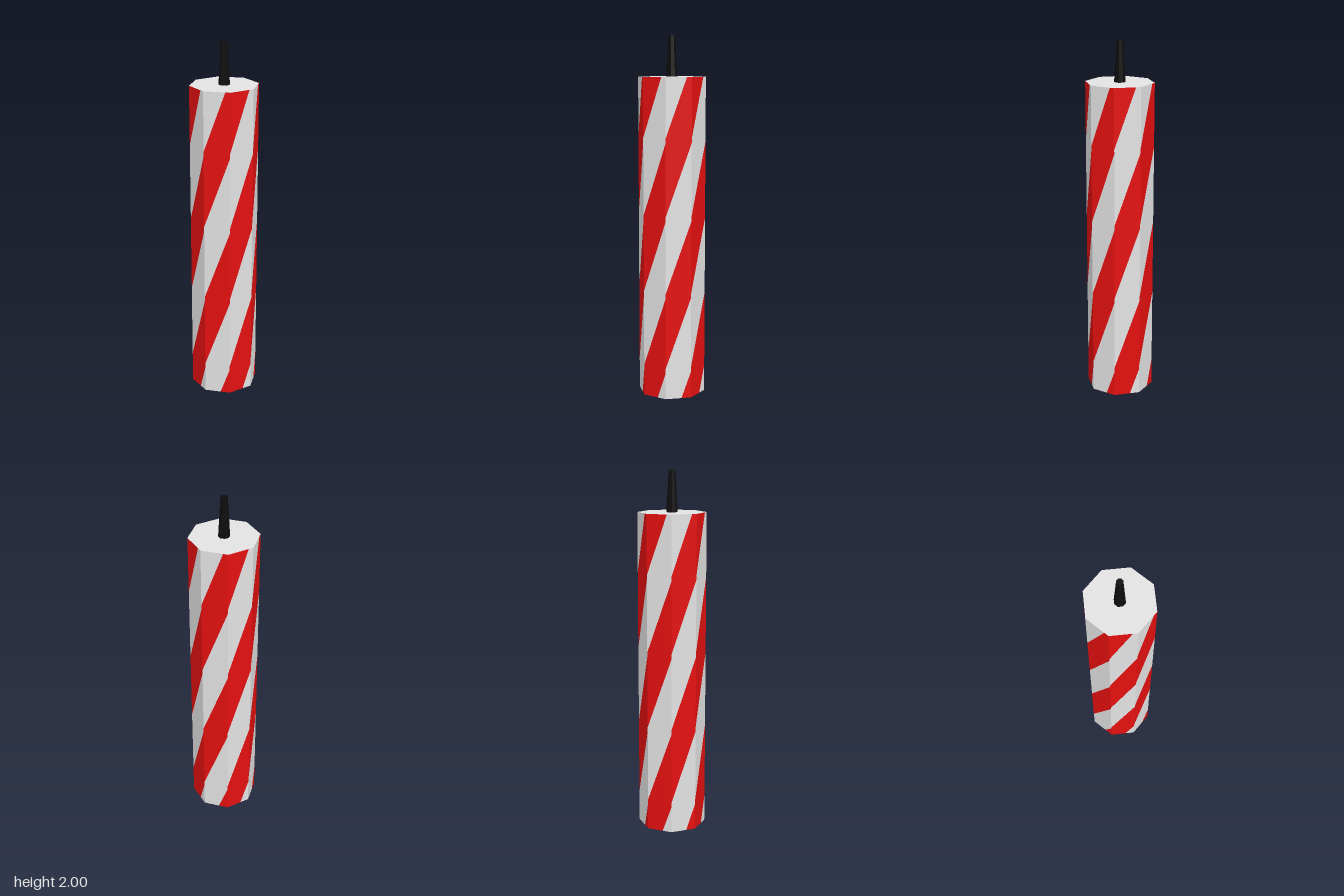
import * as THREE from 'three';

const SIDES = 8, RADIUS = 0.188, HEIGHT = 1.776, WICK_HEIGHT = 2 - HEIGHT;
const PERIOD = 0.85, BAND = PERIOD / 2; // vertical stripe spacing and stripe height
const RISE = 0.40;                      // climb of a stripe across one face

// Clip a polygon of [u, y] points to one side of a horizontal line
function clip(poly, limit, sign) {
  const out = [];
  poly.forEach((a, i) => {
    const b = poly[(i + 1) % poly.length];
    const da = (a[1] - limit) * sign, db = (b[1] - limit) * sign;
    if (da >= 0) out.push(a);
    if (da * db < 0) {
      const t = da / (da - db);
      out.push([a[0] + (b[0] - a[0]) * t, limit]);
    }
  });
  return out;
}

// Slanted bands on all faces of the prism; parity 0 = red, 1 = white
function bandGeometry(parity) {
  const pos = [];
  for (let f = 0; f < SIDES; f++) {
    const [a, b] = [f, f + 1].map(i => (i / SIDES) * Math.PI * 2);
    const point = ([u, y]) => [
      RADIUS * (Math.sin(a) * (1 - u) + Math.sin(b) * u), y,
      RADIUS * (Math.cos(a) * (1 - u) + Math.cos(b) * u)];
    const start = 0.6 + (f % 2) * BAND + parity * BAND;
    for (let k = -3; k <= 2; k++) {
      const y = start + k * PERIOD;
      let poly = [[0, y], [1, y + RISE], [1, y + RISE + BAND], [0, y + BAND]];
      poly = clip(clip(poly, 0, 1), HEIGHT, -1);
      for (let i = 1; i + 1 < poly.length; i++)
        pos.push(...point(poly[0]), ...point(poly[i]), ...point(poly[i + 1]));
    }
  }
  const geo = new THREE.BufferGeometry();
  geo.setAttribute('position', new THREE.Float32BufferAttribute(pos, 3));
  geo.computeVertexNormals();
  return geo;
}

export function createModel() {
  const group = new THREE.Group();
  group.name = 'stripedCandle';
  const material = (name, color) => {
    const m = new THREE.MeshStandardMaterial({ color });
    m.name = name;
    return m;
  };
  const white = material('white', 0xe2e2e2);
  const red = material('red', 0xe41010);
  const black = material('black', 0x0d0d0d);
  black.flatShading = true;

  const add = (name, geo, mat) => {
    const mesh = new THREE.Mesh(geo, mat);
    mesh.name = name;
    group.add(mesh);
    return mesh;
  };

  // Striped octagonal body
  add('redStripes', bandGeometry(0), red);
  add('whiteStripes', bandGeometry(1), white);

  // End caps
  const cap = new THREE.CircleGeometry(RADIUS, SIDES);
  const top = add('topCap', cap, white);
  top.rotation.x = -Math.PI / 2;
  top.position.y = HEIGHT;
  add('bottomCap', cap, white).rotation.x = Math.PI / 2;

  // Tapered wick
  add('wick', new THREE.CylinderGeometry(0.018, 0.031, WICK_HEIGHT, SIDES), black)
    .position.y = HEIGHT + WICK_HEIGHT / 2;

  return group;
}
